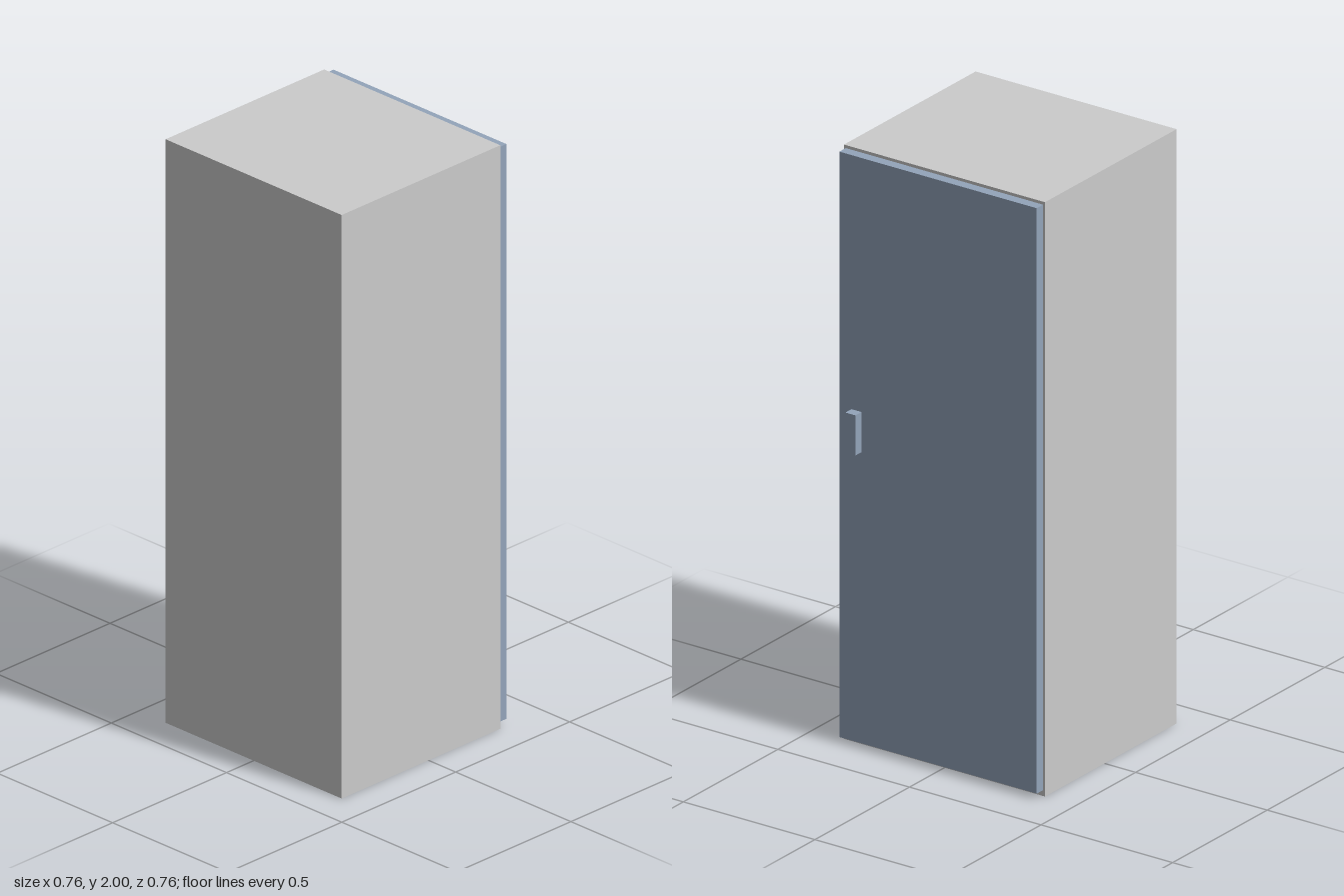
import * as THREE from 'three';

export function createModel() {
  const group = new THREE.Group();
  const grey = new THREE.MeshStandardMaterial({ color: 0xcccccc });
  const blue = new THREE.MeshStandardMaterial({ color: 0x93a4ba });

  // Box given by its minimum and maximum corners
  function box(name, material, [x0, y0, z0], [x1, y1, z1]) {
    const mesh = new THREE.Mesh(new THREE.BoxGeometry(x1 - x0, y1 - y0, z1 - z0), material);
    mesh.position.set((x0 + x1) / 2, (y0 + y1) / 2, (z0 + z1) / 2);
    mesh.name = name;
    group.add(mesh);
  }

  // Cabinet body
  box('cabinetBody', grey, [-0.381, 0, -0.382], [0.315, 2, 0.382]);
  // Door, slightly smaller than the side it covers
  box('door', blue, [0.315, 0.02, -0.375], [0.349, 1.99, 0.375]);
  // Handle near the front edge of the door
  box('handle', blue, [0.349, 1.0, 0.291], [0.381, 1.135, 0.329]);

  return group;
}
